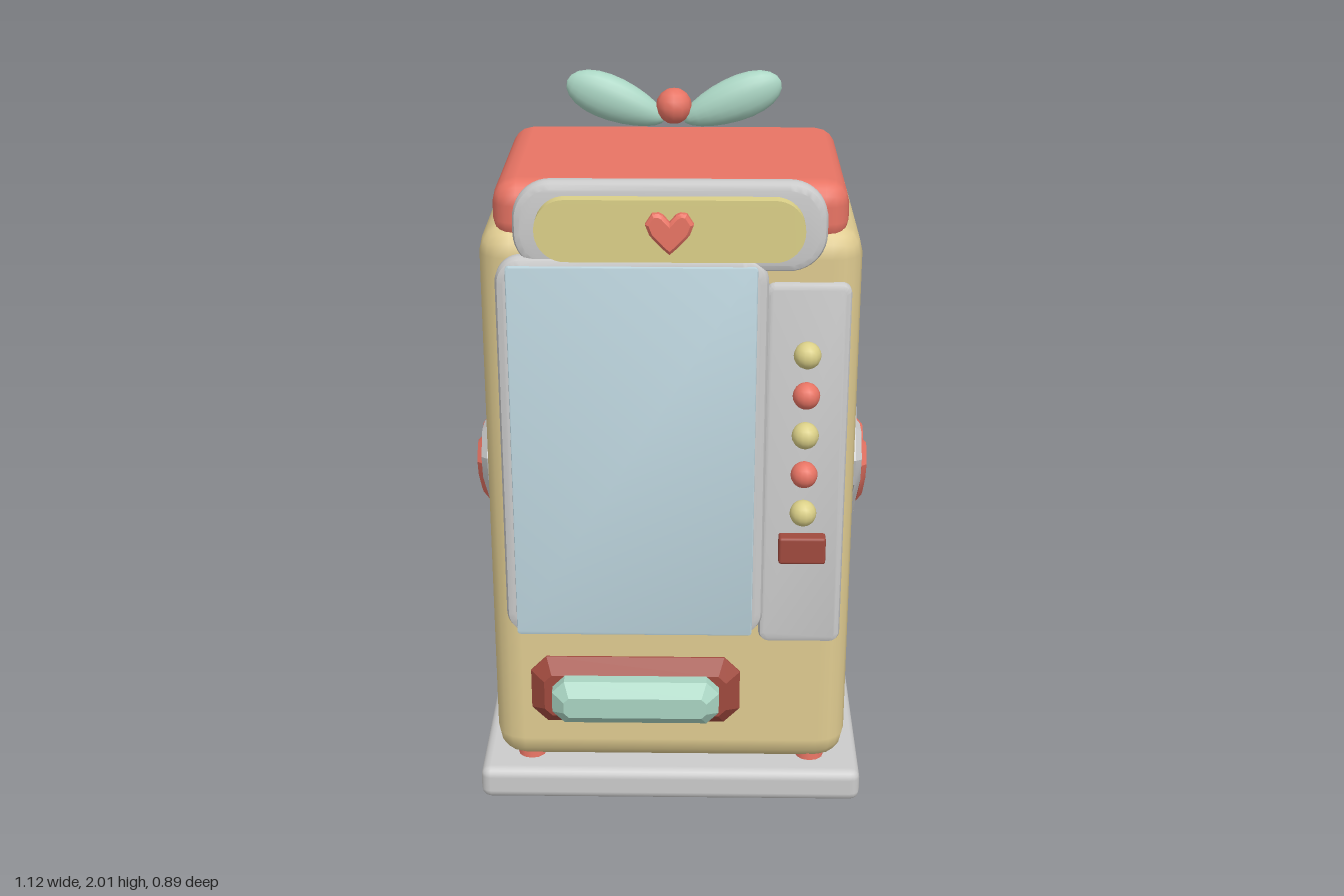
import * as THREE from 'three';
import { RoundedBoxGeometry } from 'three/addons/geometries/RoundedBoxGeometry.js';
import { toCreasedNormals } from 'three/addons/utils/BufferGeometryUtils.js';

const mat = (color) => new THREE.MeshStandardMaterial({ color });
const M = {
  cream: mat(0xdfcb90), coral: mat(0xe87464), white: mat(0xe0dcdc), mint: mat(0xa9d4c2),
  yellow: mat(0xdbd088), glass: mat(0xbcd4dd), darkRed: mat(0xa04a3e),
};

export function createModel() {
  const model = new THREE.Group();

  const add = (name, geometry, material, x = 0, y = 0, z = 0) => {
    const mesh = new THREE.Mesh(geometry, material);
    mesh.name = name;
    mesh.position.set(x, y, z);
    model.add(mesh);
    return mesh;
  };

  // Rounded box given by its lower and upper limits
  const block = (name, material, [x0, x1], [y0, y1], [z0, z1], radius) =>
    add(name, new RoundedBoxGeometry(x1 - x0, y1 - y0, z1 - z0, 2, radius), material,
      (x0 + x1) / 2, (y0 + y1) / 2, (z0 + z1) / 2);

  // Extrusion from z = 0 to depth, its front edge bevelled inside the outline
  const extrude = (shape, depth, bevel, segments = 2, crease = 0.6) => {
    const g = new THREE.ExtrudeGeometry(shape, {
      depth: depth - 2 * bevel, bevelEnabled: bevel > 0, bevelThickness: bevel, bevelSize: bevel,
      bevelOffset: -bevel, bevelSegments: segments, curveSegments: 5,
    });
    g.translate(0, 0, bevel);
    return toCreasedNormals(g, crease);
  };

  // Rounded plate on the front
  const plate = (name, material, [x0, x1], [y0, y1], [z0, z1], r, bevel) => {
    const w = (x1 - x0) / 2, h = (y1 - y0) / 2, s = new THREE.Shape();
    s.absarc(w - r, h - r, r, 0, Math.PI / 2);
    s.absarc(r - w, h - r, r, Math.PI / 2, Math.PI);
    s.absarc(r - w, r - h, r, Math.PI, Math.PI * 1.5);
    s.absarc(w - r, r - h, r, Math.PI * 1.5, Math.PI * 2);
    s.closePath();
    return add(name, extrude(s, z1 - z0, bevel), material, (x0 + x1) / 2, (y0 + y1) / 2, z0);
  };

  // Angular heart from the right half of its outline, notch first, tip last
  const heart = (half, scale, depth, bevel) => {
    const right = half.map(([x, y]) => new THREE.Vector2(x * scale, y * scale));
    const left = right.slice(1, -1).reverse().map((p) => new THREE.Vector2(-p.x, p.y));
    return extrude(new THREE.Shape([...right, ...left].reverse()), depth, bevel, 1, 0.4);
  };
  const wideHeart = [[0, 0.11], [0.055, 0.165], [0.14, 0.165], [0.195, 0.085], [0.172, 0],
    [0.04, -0.125], [0.012, -0.17], [0, -0.18]];
  const smallHeart = [[0, 0.06], [0.035, 0.1], [0.06, 0.112], [0.095, 0.108], [0.133, 0.05],
    [0.11, -0.01], [0.045, -0.08], [0, -0.12]];

  // Cabinet
  block('base', M.white, [-0.555, 0.555], [0, 0.1], [-0.45, 0.37], 0.028);
  block('body', M.cream, [-0.51, 0.51], [0.1, 1.73], [-0.41, 0.33], 0.085);
  block('lid', M.coral, [-0.47, 0.47], [1.67, 1.845], [-0.39, 0.31], 0.065);
  for (const x of [-0.41, 0.41]) for (const z of [-0.33, 0.26])
    add('foot', new THREE.CylinderGeometry(0.04, 0.045, 0.06, 12), M.coral, x, 0.09, z);

  // Sign
  plate('signFrame', M.white, [-0.41, 0.41], [1.62, 1.86], [0.3, 0.365], 0.1, 0.02);
  plate('signPanel', M.yellow, [-0.35, 0.35], [1.66, 1.825], [0.35, 0.405], 0.08, 0);
  add('signHeart', heart(smallHeart, 0.47, 0.04, 0.008), M.coral, 0, 1.742, 0.39);

  // Window
  plate('windowFrame', M.white, [-0.46, 0.26], [0.55, 1.66], [0.31, 0.378], 0.07, 0.022);
  plate('glass', M.glass, [-0.43, 0.23], [0.56, 1.64], [0.35, 0.386], 0.01, 0.003);

  // Control panel
  plate('controlPanel', M.white, [0.25, 0.48], [0.52, 1.585], [0.3, 0.35], 0.03, 0.015);
  for (let i = 0; i < 5; i++)
    add('button', new THREE.SphereGeometry(0.037, 14, 10), i % 2 ? M.coral : M.yellow,
      0.365, 1.395 - i * 0.115, 0.37);
  block('coinSlot', M.darkRed, [0.3, 0.43], [0.785, 0.865], [0.33, 0.388], 0.008);

  // Dispenser: chamfered blocks stacked from inset octagons
  const chamfered = (w, h, c, depth, bevel) => {
    const x = w / 2, y = h / 2;
    const pts = [[x, c - y], [x, y - c], [x - c, y], [c - x, y], [-x, y - c], [-x, c - y], [c - x, -y], [x - c, -y]];
    return extrude(new THREE.Shape(pts.map((p) => new THREE.Vector2(...p))), depth, bevel, 1, 0.3);
  };
  add('dispenserTray', chamfered(0.6, 0.21, 0.045, 0.09, 0.04), M.darkRed, -0.1, 0.355, 0.285);
  add('dispenserFlap', chamfered(0.475, 0.132, 0.035, 0.115, 0.035), M.mint, -0.098, 0.355, 0.33);

  // Side hearts
  for (const side of [-1, 1]) {
    const outer = add('sideHeartFrame', heart(wideHeart, 1, 0.06, 0.018), M.white, side * 0.482, 0.915, -0.037);
    const inner = add('sideHeart', heart(smallHeart, 1, 0.06, 0.016), M.coral, side * 0.502, 0.908, -0.037);
    outer.rotation.y = inner.rotation.y = side * Math.PI / 2;
  }

  // Bow: ellipsoid loops narrowed toward the knot
  for (const side of [-1, 1]) {
    const g = new THREE.SphereGeometry(1, 18, 12).rotateZ(Math.PI / 2);
    const p = g.attributes.position;
    for (let i = 0; i < p.count; i++) {
      const k = 1 + 0.22 * side * p.getX(i);
      p.setXYZ(i, p.getX(i) * 0.152, p.getY(i) * 0.064 * k, p.getZ(i) * 0.047);
    }
    g.computeVertexNormals();
    add('bowLoop', g, M.mint, side * 0.167, 1.922, -0.328).rotation.z = side * 0.38;
  }
  add('bowKnot', new THREE.SphereGeometry(0.052, 12, 8), M.coral, 0, 1.908, -0.32);

  return model;
}
